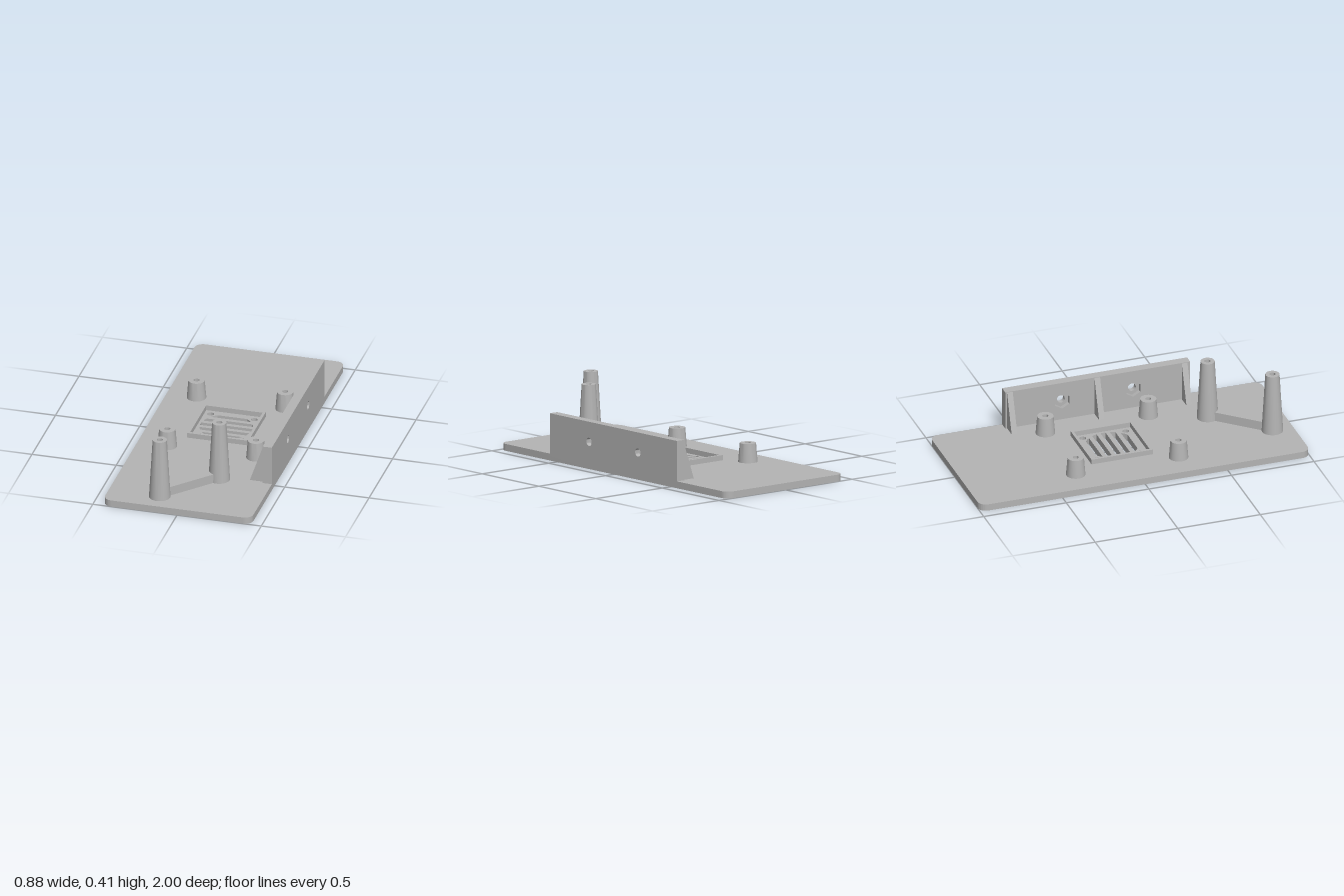
import * as THREE from 'three';
import { toCreasedNormals } from 'three/addons/utils/BufferGeometryUtils.js';

const grey = new THREE.MeshStandardMaterial({ color: 0xb4b4b4 });
grey.name = 'grey plastic';

const T = 0.04; // plate thickness
const FAN_Z = -0.05; // centre of the fan grille

export function createModel() {
  const model = new THREE.Group();
  model.name = 'mountingPlate';

  const add = (name, geometry, x = 0, y = 0, z = 0) => {
    const mesh = new THREE.Mesh(toCreasedNormals(geometry, 0.6), grey);
    mesh.name = name;
    mesh.position.set(x, y, z);
    model.add(mesh);
    return mesh;
  };
  const circle = (x, y, r) => new THREE.Path().absarc(x, y, r, 0, Math.PI * 2, true);
  const polygon = (pts) => new THREE.Path(pts.map(([x, y]) => new THREE.Vector2(x, y)));
  const rect = (w, h) => new THREE.Shape([[-w, -h], [w, -h], [w, h], [-w, h]].map((p) => new THREE.Vector2(...p)));
  const extrude = (shape, depth) =>
    new THREE.ExtrudeGeometry(shape, { depth, bevelEnabled: false, curveSegments: 16 });
  // Flat shapes use (x, -z) and rise along y
  const slab = (shape, height) => extrude(shape, height).rotateX(-Math.PI / 2);
  const lathe = (pts) => new THREE.LatheGeometry(pts.map((p) => new THREE.Vector2(...p)), 32);

  // Base plate with rounded corners
  const W = 0.44, L = 1, R = 0.05;
  const plate = new THREE.Shape();
  plate.absarc(W - R, L - R, R, 0, Math.PI / 2);
  plate.absarc(-W + R, L - R, R, Math.PI / 2, Math.PI);
  plate.absarc(-W + R, -L + R, R, Math.PI, Math.PI * 1.5);
  plate.absarc(W - R, -L + R, R, Math.PI * 1.5, Math.PI * 2);
  plate.closePath();

  // Counterbores under the short standoffs
  const standoffs = [];
  for (const x of [-0.263, 0.263]) for (const z of [-0.36, 0.263]) standoffs.push([x, z]);
  for (const [x, z] of standoffs) plate.holes.push(circle(x, -z, 0.03));

  // Fan screw holes
  for (const x of [-0.13, 0.13])
    for (const z of [-0.13, 0.13]) plate.holes.push(circle(x, -(FAN_Z + z), 0.019));

  // Fan slots, cut to a round outline
  const outline = (d) => Math.sqrt(0.153 ** 2 - d ** 2);
  for (let i = -2; i <= 2; i++) {
    const right = [], left = [];
    for (let k = 0; k <= 4; k++) {
      const d = i * 0.0555 - 0.015 + k * 0.0075;
      right.push([outline(d), d - FAN_Z]);
      left.unshift([-outline(d), d - FAN_Z]);
    }
    plate.holes.push(polygon([...right, ...left]));
  }
  add('basePlate', slab(plate, T));

  // Raised rim around the fan grille
  const rim = rect(0.183, 0.186);
  rim.holes.push(polygon([[-0.167, -0.17], [-0.167, 0.17], [0.167, 0.17], [0.167, -0.17]]));
  add('fanRim', slab(rim, 0.03), 0, T, FAN_Z);

  // Short standoffs with a through bore
  for (const [x, z] of standoffs)
    add('standoff', lathe([[0.017, 0], [0.056, 0], [0.047, 0.11], [0.017, 0.11], [0.017, 0]]), x, T, z);

  // Tall tapered posts with a blind bore
  const posts = [[-0.137, 0.875], [0.133, 0.577]];
  for (const [x, z] of posts)
    add('tallPost', lathe([[0, 0], [0.062, 0], [0.041, 0.365], [0.017, 0.365], [0.017, 0.24], [0, 0.24]]), x, T, z);

  // Brace joining the tall posts
  const [[x0, z0], [x1, z1]] = posts;
  const brace = add('postBrace', new THREE.BoxGeometry(Math.hypot(x1 - x0, z1 - z0), 0.054, 0.048),
    (x0 + x1) / 2, T + 0.027, (z0 + z1) / 2);
  brace.rotation.y = Math.atan2(z0 - z1, x1 - x0);

  // Side wall: hexagonal nut pockets inside, round holes outside
  const wallLayer = (name, x, thickness, hole) => {
    const shape = rect(0.56, 0.1175);
    for (const s of [-0.215, 0.215]) shape.holes.push(hole(s, 0.0005));
    add(name, extrude(shape, thickness).rotateY(Math.PI / 2), x, T + 0.1175, 0);
  };
  const hexagon = (x, y) => polygon(Array.from({ length: 6 }, (_, i) => {
    const a = Math.PI / 2 - i * Math.PI / 3;
    return [x + 0.049 * Math.cos(a), y + 0.049 * Math.sin(a)];
  }));
  wallLayer('wallInner', 0.385, 0.025, hexagon);
  wallLayer('wallOuter', 0.41, 0.03, (x, y) => circle(x, y, 0.024));

  // Triangular gussets behind the wall
  const gusset = new THREE.Shape([[0.305, 0], [0.386, 0], [0.386, 0.235]].map((p) => new THREE.Vector2(...p)));
  for (const z of [-0.532, -0.003, 0.526])
    add('gusset', extrude(gusset, 0.034), 0, T, z - 0.017);

  return model;
}
